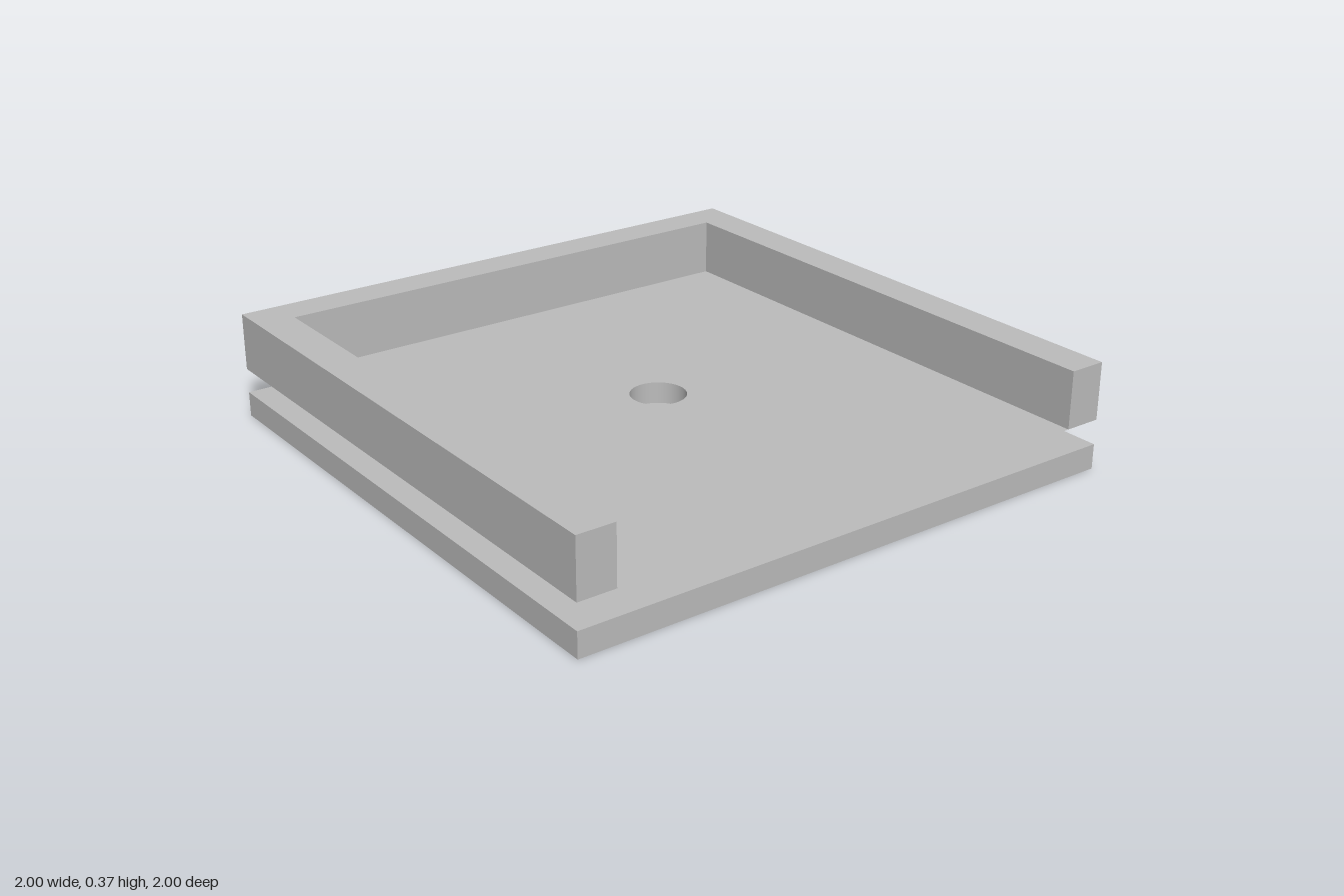
import * as THREE from 'three';

const SIZE = 1, INNER = 0.87;
const PLATE_TOP = 0.086, FLOOR_Y = 0.172, RIM_TOP = 0.37;
const HOLE_R = 0.095, HOLE_BOTTOM = 0.098;

export function createModel() {
  const model = new THREE.Group();
  model.name = 'tray';
  const grey = new THREE.MeshStandardMaterial({ color: 0xbcbcbc, side: THREE.DoubleSide });
  grey.name = 'grey';

  const add = (name, geometry, y) => {
    const mesh = new THREE.Mesh(geometry, grey);
    mesh.name = name;
    mesh.position.y = y;
    model.add(mesh);
  };

  // base plate
  add('basePlate', new THREE.BoxGeometry(2 * SIZE, PLATE_TOP, 2 * SIZE), PLATE_TOP / 2);

  // U-shaped rim, open at the front
  const rim = new THREE.Shape([
    [-SIZE, -SIZE], [-INNER, -SIZE], [-INNER, INNER], [INNER, INNER],
    [INNER, -SIZE], [SIZE, -SIZE], [SIZE, SIZE], [-SIZE, SIZE],
  ].map(([x, y]) => new THREE.Vector2(x, y)));
  const rimGeometry = new THREE.ExtrudeGeometry(rim, { depth: RIM_TOP - FLOOR_Y, bevelEnabled: false });
  add('rim', rimGeometry.rotateX(-Math.PI / 2), FLOOR_Y);

  // thin floor between the rails, with a round hole
  const floor = new THREE.Shape([
    [-INNER, -SIZE], [INNER, -SIZE], [INNER, INNER], [-INNER, INNER],
  ].map(([x, y]) => new THREE.Vector2(x, y)));
  floor.holes.push(new THREE.Path().absarc(0, 0, HOLE_R, 0, Math.PI * 2, true));
  add('floor', new THREE.ShapeGeometry(floor, 32).rotateX(-Math.PI / 2), FLOOR_Y);

  // round pocket hanging below the hole
  const depth = FLOOR_Y - HOLE_BOTTOM;
  add('pocketWall', new THREE.CylinderGeometry(HOLE_R, HOLE_R, depth, 64, 1, true), HOLE_BOTTOM + depth / 2);
  add('pocketBottom', new THREE.CircleGeometry(HOLE_R, 64).rotateX(-Math.PI / 2), HOLE_BOTTOM);

  return model;
}
